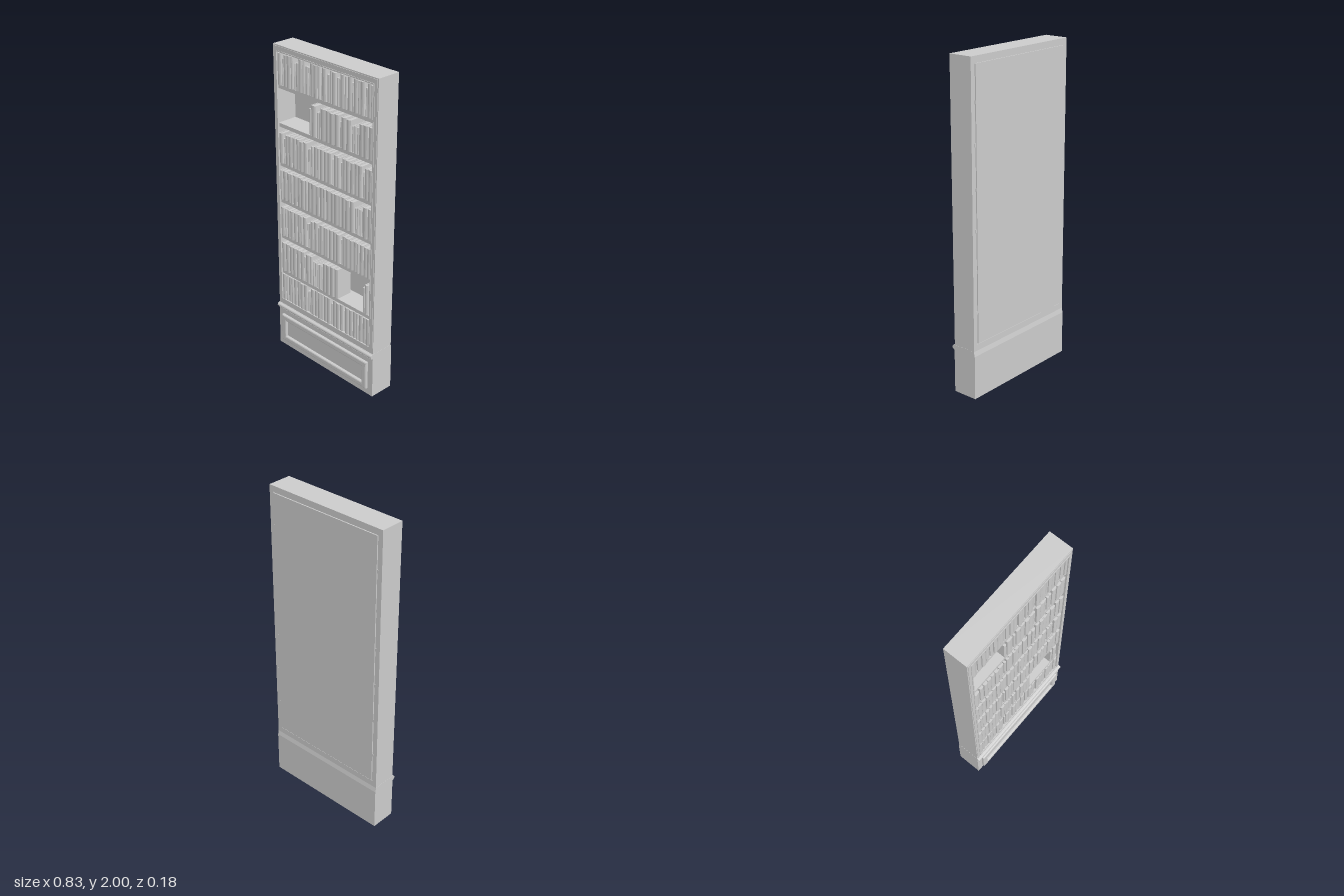
import * as THREE from 'three';

const material = new THREE.MeshStandardMaterial({ color: 0xcccccc });

function add(parent, name, geometry, x = 0, y = 0, z = 0) {
  const mesh = new THREE.Mesh(geometry, material);
  mesh.name = name;
  mesh.position.set(x, y, z);
  parent.add(mesh);
  return mesh;
}

function box(parent, name, x0, x1, y0, y1, z0, z1) {
  return add(parent, name, new THREE.BoxGeometry(x1 - x0, y1 - y0, z1 - z0),
    (x0 + x1) / 2, (y0 + y1) / 2, (z0 + z1) / 2);
}

function rectangle(target, half, y0, y1) {
  target.moveTo(-half, y0);
  target.lineTo(half, y0);
  target.lineTo(half, y1);
  target.lineTo(-half, y1);
  target.closePath();
  return target;
}

// Rectangular ring in the xy plane, pushed out along z
function ring(parent, name, outer, inner, z0, z1, bevel = 0) {
  const shape = rectangle(new THREE.Shape(), ...outer);
  shape.holes.push(rectangle(new THREE.Path(), ...inner));
  const geometry = new THREE.ExtrudeGeometry(shape, {
    depth: z1 - z0 - bevel, bevelEnabled: bevel > 0, bevelSize: bevel,
    bevelThickness: bevel, bevelSegments: 2,
  });
  return add(parent, name, geometry, 0, 0, z0);
}

// Hollow-backed book: rounded cover around a lower block of pages
function addBook(parent, x, y, width, height, front) {
  const back = -0.045, t = 0.003, h = width / 2;
  const cover = new THREE.Shape();
  cover.moveTo(-h, back);
  cover.lineTo(-h, front - 0.005);
  cover.quadraticCurveTo(0, front + 0.005, h, front - 0.005);
  cover.lineTo(h, back);
  cover.lineTo(h - t, back);
  cover.lineTo(h - t, front - 0.01);
  cover.lineTo(t - h, front - 0.01);
  cover.lineTo(t - h, back);
  cover.closePath();
  const geometry = new THREE.ExtrudeGeometry(cover, { depth: height, bevelEnabled: false, curveSegments: 4 });
  geometry.rotateX(Math.PI / 2).translate(0, height, 0);
  const book = new THREE.Group();
  book.name = 'book';
  book.position.set(x, y, 0);
  add(book, 'cover', geometry);
  box(book, 'pages', t - h, h - t, 0.002, height - 0.005, back + 0.003, front - 0.01);
  parent.add(book);
}

// T wide tall, t narrow tall, S wide short, s narrow short
const bookWidth = { T: 0.031, t: 0.021, S: 0.026, s: 0.017 };

function addRow(parent, y, x0, x1, pattern, tall) {
  const row = new THREE.Group();
  row.name = 'bookRow';
  const total = [...pattern].reduce((sum, c) => sum + bookWidth[c], 0);
  let x = x0;
  [...pattern].forEach((c, i) => {
    const w = bookWidth[c] * (x1 - x0) / total;
    const isTall = c === 'T' || c === 't';
    const height = isTall ? tall - (i % 4 === 2 ? 0.004 : 0) : tall - 0.027 - (i % 3) * 0.004;
    const front = (isTall ? 0.071 : 0.064) - (i % 3) * 0.002;
    addBook(row, x + w / 2, y, w - 0.003, height, front);
    x += w;
  });
  parent.add(row);
}

export function createModel() {
  const model = new THREE.Group();
  model.name = 'bookcase';

  // Base with a half-round moulding, drawn as a side profile (z, y)
  const side = new THREE.Shape();
  side.moveTo(-0.089, 0);
  side.lineTo(0.069, 0);
  side.lineTo(0.069, 0.268);
  side.lineTo(0.077, 0.27);
  side.absarc(0.073, 0.285, 0.0125, -Math.PI / 2, Math.PI / 2, false);
  side.lineTo(0.069, 0.301);
  side.lineTo(-0.083, 0.301);
  side.lineTo(-0.089, 0.27);
  side.closePath();
  const baseGeometry = new THREE.ExtrudeGeometry(side, { depth: 0.828, bevelEnabled: false, curveSegments: 10 });
  baseGeometry.translate(0, 0, -0.414).rotateY(-Math.PI / 2);
  add(model, 'base', baseGeometry);
  ring(model, 'basePanelMoulding', [0.367, 0.05, 0.222], [0.346, 0.069, 0.2], 0.067, 0.087, 0.008);

  // Carcass, front face frame and bead around the opening
  ring(model, 'carcass', [0.413, 0.3, 2], [0.385, 0.338, 1.965], -0.084, 0.067);
  ring(model, 'faceFrame', [0.406, 0.308, 1.993], [0.385, 0.338, 1.965], 0.066, 0.07);
  ring(model, 'openingBead', [0.388, 0.335, 1.968], [0.381, 0.342, 1.961], 0.058, 0.073);

  // Back board
  box(model, 'backBoard', -0.38, 0.38, 0.345, 1.96, -0.089, -0.068);
  ring(model, 'backRebate', [0.386, 0.337, 1.966], [0.378, 0.347, 1.958], -0.082, -0.068);

  // Shelves, with tenon ends showing beside the back board
  const shelfTops = [1.765, 1.528, 1.28, 1.04, 0.795, 0.547];
  for (const y of shelfTops) {
    box(model, 'shelf', -0.386, 0.386, y - 0.023, y, -0.075, 0.062);
    for (const s of [-1, 1])
      box(model, 'shelfTenon', s * 0.384 - 0.006, s * 0.384 + 0.006, y - 0.022, y - 0.002, -0.086, -0.075);
  }

  // Books, row by row from the top; two rows leave open spaces
  const left = -0.38, right = 0.38;
  const rows = [
    [1.765, left, right, 'TsTTtsSTtSsTTtsTStTssTtTsTtTsTt', 0.19],
    [1.528, -0.125, right, 'sTssTTTTsTTsssTTT', 0.187],
    [1.28, left, right, 'TsTTTTTTsstTtTTTsTtsTTTTTsTT', 0.19],
    [1.04, left, right, 'tTTtTTTtTTTTtTTTtTTTssssTT', 0.192],
    [0.795, left, right, 'TtTTTTtTssTTsTTtTTTsTTTTtTTT', 0.192],
    [0.547, left, 0.112, 'TTTTTTsTtsssssTTTT', 0.196],
    [0.547, 0.315, right, 'sts', 0.196],
    [0.338, left, right, 'TtTtTTTTssTTTtTTsTTTsTTTtTTT', 0.184],
  ];
  for (const row of rows) addRow(model, ...row);

  return model;
}
